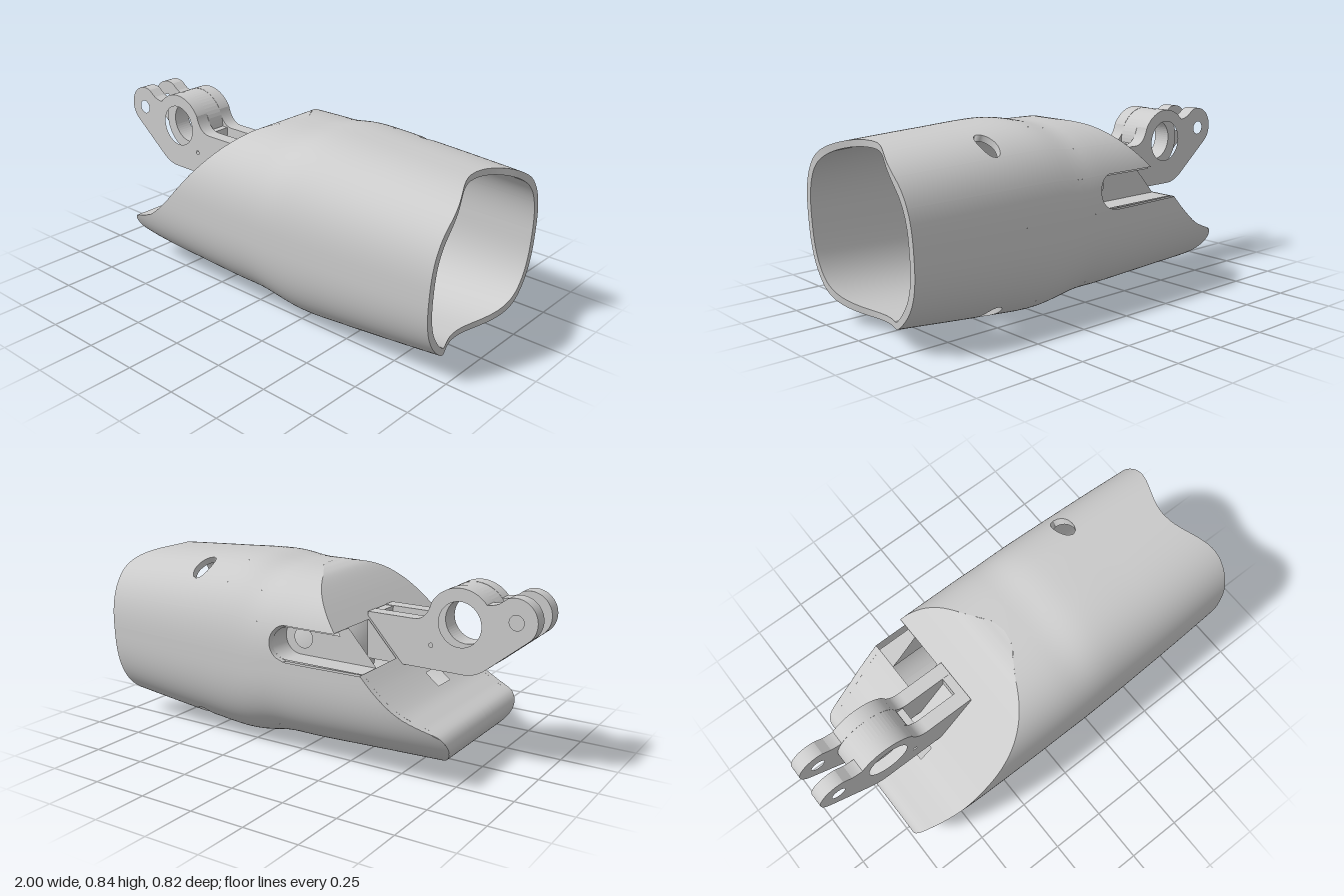
import * as THREE from 'three';
import { mergeGeometries, mergeVertices } from 'three/addons/utils/BufferGeometryUtils.js';

const mat = new THREE.MeshStandardMaterial({ color: 0xcccccc, side: THREE.DoubleSide });
const solid = new THREE.MeshStandardMaterial({ color: 0xcccccc });
const EXP = 2.6, WALL = 0.028, BACK = -0.745;
const SLOT = { y0: 0.45, y1: 0.6, end: 0.06 };

// linear lookup in a list of [x, value] pairs
function lookup(list, x) {
  if (x <= list[0][0]) return list[0][1];
  for (let i = 1; i < list.length; i++) {
    const [a, va] = list[i - 1], [b, vb] = list[i];
    if (x <= b) return va + (vb - va) * (x - a) / (b - a || 1);
  }
  return list[list.length - 1][1];
}
const smooth = pts => new THREE.SplineCurve(pts.map(p => new THREE.Vector2(...p)))
  .getSpacedPoints(100).map(p => [p.x, p.y]);

// sleeve outline along x: underside, top and half width
const bottom = smooth([[-0.75, 0.055], [-0.5, 0.055], [-0.1, 0.04], [0.08, 0.036], [0.28, 0.004], [0.5, 0.018], [0.85, 0.052], [1, 0.068]]);
const top = smooth([[-0.75, 0.79], [0, 0.8], [0.15, 0.802], [0.31, 0.821], [0.6, 0.807], [0.88, 0.791], [1, 0.783]]);
const half = smooth([[-0.75, 0.372], [-0.6, 0.4], [-0.42, 0.411], [0.05, 0.411], [0.3, 0.405], [0.7, 0.392], [1, 0.378]]);

// side profile of the rounded nose and the sloping end face
const endCurve = new THREE.SplineCurve([[-0.5, 0.045], [-0.58, 0.067], [-0.65, 0.082], [-0.715, 0.12], [BACK, 0.18], [-0.72, 0.235],
  [-0.64, 0.268], [-0.55, 0.31], [-0.45, 0.39], [-0.35, 0.495], [-0.25, 0.605], [-0.15, 0.71], [-0.08, 0.772], [-0.03, 0.793],
  [0.03, 0.804], [0.1, 0.84]].map(p => new THREE.Vector2(...p))).getSpacedPoints(160);
const tip = endCurve.reduce((m, p, i) => (p.x < endCurve[m].x ? i : m), 0);
const upper = endCurve.slice(tip).map(p => [p.x, p.y]);
const lower = endCurve.slice(0, tip + 1).reverse().map(p => [p.x, p.y]);

// point on the rounded-square section at x
function skin(x, a, inset) {
  const lo = lookup(bottom, x), hi = lookup(top, x);
  const pow = v => Math.sign(v) * Math.abs(v) ** (2 / EXP);
  return [x, (lo + hi) / 2 + ((hi - lo) / 2 - inset) * pow(Math.sin(a)), -(lookup(half, x) - inset) * pow(Math.cos(a))];
}
function widthAt(x, y) {
  const lo = lookup(bottom, x), hi = lookup(top, x);
  const k = Math.min(1, Math.abs(y - (lo + hi) / 2) / ((hi - lo) / 2));
  return lookup(half, x) * (1 - k ** EXP) ** (1 / EXP);
}
// where a lengthwise line of the skin meets the end face
function startX(a, inset) {
  let out = BACK, inn = 0.12;
  for (let i = 0; i < 22; i++) {
    const x = (out + inn) / 2, y = skin(x, a, inset)[1];
    if (y <= lookup(upper, x) && (x > -0.5 || y >= lookup(lower, x))) inn = x; else out = x;
  }
  return inn;
}
// open end, leaning, with a scoop above and below
function endX(a, inset) {
  const [, y, z] = skin(0.97, a, inset);
  const scoop = Math.abs(z) < 0.3 ? Math.cos(Math.PI * z / 0.6) ** 2 : 0;
  return 0.97 + 0.03 * (y - 0.1) / 0.65 - 0.095 * scoop;
}
function slotX(a) {
  const r = (SLOT.y1 - SLOT.y0) / 2, d = (skin(0, a, 0)[1] - SLOT.y0 - r) / r;
  return SLOT.end - r + r * Math.sqrt(Math.max(0, 1 - d * d));
}

// grid surface from a point function, with optional skipped cells
function grid(nu, nv, f, skip) {
  const pos = [], idx = [];
  for (let i = 0; i <= nu; i++) for (let j = 0; j <= nv; j++) pos.push(...f(i, j));
  for (let i = 0; i < nu; i++) for (let j = 0; j < nv; j++) {
    if (skip && skip(i, j)) continue;
    const a = i * (nv + 1) + j, b = a + nv + 1;
    idx.push(a, a + 1, b, b, a + 1, b + 1);
  }
  const g = new THREE.BufferGeometry();
  g.setAttribute('position', new THREE.Float32BufferAttribute(pos, 3));
  g.setIndex(idx);
  return g;
}
function mesh(name, geo, material = mat) {
  const m = new THREE.Mesh(geo, material);
  m.name = name;
  return m;
}
function joined(name, list) {
  const g = mergeVertices(mergeGeometries(list), 1e-4);
  g.computeVertexNormals();
  return mesh(name, g);
}

// angular bands of the sleeve; a band may hold the slot or a small oval hole
const sectionAngle = y => Math.asin(((y - 0.4225) / 0.3775) ** (EXP / 2));
const s0 = sectionAngle(SLOT.y0), s1 = sectionAngle(SLOT.y1);
const holeEdge = (a, mid, s) => 0.535 + s * 0.04 * Math.sqrt(Math.max(0, 1 - ((a - mid) / 0.22) ** 2));
const bands = [
  { a: -1.228, b: -0.788, n: 16, hole: -1.008 }, { a: -0.788, b: s0, n: 14 },
  { a: s0, b: s1, n: 18, slot: true }, { a: s1, b: 0.788, n: 12 },
  { a: 0.788, b: 1.228, n: 16, hole: 1.008 }, { a: 1.228, b: 2 * Math.PI - 1.228, n: 80 },
];

function addSleeve(group) {
  const skins = [[], []], edges = [];
  for (const band of bands) {
    const angle = j => band.a + (band.b - band.a) * j / band.n;
    const begin = (a, w) => (band.slot ? slotX(a) : startX(a, w));
    [0, WALL].forEach((w, k) => {
      const strip = (from, to, n) => skins[k].push(grid(n, band.n, (i, j) => {
        const a = angle(j), x0 = from(a);
        return skin(x0 + (to(a) - x0) * i / n, a, w);
      }));
      if (band.hole) {
        strip(a => begin(a, w), a => holeEdge(a, band.hole, -1), 26);
        strip(a => holeEdge(a, band.hole, 1), a => endX(a, w), 16);
      } else strip(a => begin(a, w), a => endX(a, w), 44);
    });
    // wall thickness at the open end, slot and holes
    const edge = f => edges.push(grid(1, band.n, (i, j) => skin(f(angle(j), i * WALL), angle(j), i * WALL)));
    edge(endX);
    if (band.slot) edge(a => slotX(a));
    if (band.hole) [-1, 1].forEach(s => edge(a => holeEdge(a, band.hole, s)));
  }
  group.add(joined('sleeveOuterSkin', skins[0]), joined('sleeveInnerSkin', skins[1]), joined('sleeveEdges', edges));
}

// sloping end face, with the slot mouth and windows left open
function addEndFace(group) {
  const zs = [];
  for (let i = 0; i <= 40; i++) zs.push(-0.42 + 0.021 * i);
  zs.push(-0.12, 0.04, 0.105);
  zs.sort((a, b) => a - b);
  const within = (v, a, b) => v > a && v < b;
  const g = grid(endCurve.length - 1, zs.length - 1, (i, j) => {
    const { x, y } = endCurve[i], w = widthAt(x, y);
    return [x, y, Math.max(-w, Math.min(w, zs[j]))];
  }, (i, j) => {
    if (i < tip) return false;
    const y = (endCurve[i].y + endCurve[i + 1].y) / 2, z = (zs[j] + zs[j + 1]) / 2;
    return (within(y, SLOT.y0, SLOT.y1) && z < -0.12) || (within(y, 0.32, 0.37) && within(z, 0, 0.105))
      || (within(y, 0.42, 0.48) && within(z, 0, 0.04));
  });
  g.computeVertexNormals();
  group.add(mesh('slopedEndFace', g));
}

// side pocket behind the slot and the bowl inside the sleeve
function addPocket(group) {
  const r = (SLOT.y1 - SLOT.y0) / 2, cx = SLOT.end - r, cy = SLOT.y0 + r;
  const outline = new THREE.Shape();
  outline.moveTo(-0.39, SLOT.y0).lineTo(cx, SLOT.y0);
  outline.absarc(cx, cy, r, -Math.PI / 2, Math.PI / 2, false);
  outline.lineTo(-0.255, SLOT.y1);
  const pts = outline.getPoints(20);
  const wall = grid(pts.length - 1, 1, (i, j) => [pts[i].x, pts[i].y, j ? -0.28 : -0.385]);
  wall.computeVertexNormals();
  group.add(mesh('pocketWall', wall));
  const hole = new THREE.Path();
  hole.absarc(-0.03, cy, 0.045, 0, Math.PI * 2, true);
  outline.holes.push(hole);
  const floor = mesh('pocketFloor', new THREE.ShapeGeometry(outline, 16));
  floor.position.z = -0.28;
  group.add(floor);

  const bowl = mesh('innerBowl', new THREE.SphereGeometry(1, 32, 24, Math.PI / 2 * 3, Math.PI / 2, 0, Math.PI));
  bowl.geometry.rotateY(Math.PI);
  bowl.geometry.computeBoundingBox();
  // keep the quarter facing the slope on the slotted side
  const c = bowl.geometry.boundingBox.getCenter(new THREE.Vector3());
  bowl.geometry.scale(c.x > 0 ? -0.3 : 0.3, 0.28, c.z > 0 ? -0.28 : 0.28);
  bowl.geometry.computeVertexNormals();
  bowl.position.set(0.08, 0.43, 0);
  group.add(bowl);
}

// hinge bracket: two cheek plates with a hub and bridges between them
function addBracket(group) {
  const rad = d => d * Math.PI / 180;
  const circle = (shape, x, y, r) => shape.holes.push(new THREE.Path().absarc(x, y, r, 0, Math.PI * 2, true));
  const plate = new THREE.Shape();
  plate.moveTo(-0.24, 0.427).lineTo(-0.7, 0.427);
  plate.quadraticCurveTo(-0.745, 0.43, -0.785, 0.46);
  plate.absarc(-0.905, 0.68, 0.095, rad(230), rad(70), true);
  plate.lineTo(-0.835, 0.742);
  plate.quadraticCurveTo(-0.805, 0.73, -0.785, 0.731);
  plate.absarc(-0.67, 0.635, 0.15, rad(140), rad(30), true);
  plate.quadraticCurveTo(-0.52, 0.632, -0.46, 0.632);
  plate.lineTo(-0.24, 0.632);
  circle(plate, -0.67, 0.635, 0.095);
  circle(plate, -0.912, 0.677, 0.031);
  circle(plate, -0.543, 0.53, 0.009);
  const extrude = (name, shape, z, depth) => {
    const m = mesh(name, new THREE.ExtrudeGeometry(shape, { depth, bevelEnabled: false, curveSegments: 28 }), solid);
    m.position.z = z;
    group.add(m);
  };
  extrude('bracketPlateLeft', plate, 0.042, 0.063);
  extrude('bracketPlateRight', plate, -0.105, 0.063);
  const hub = new THREE.Shape().absarc(-0.67, 0.635, 0.149, 0, Math.PI * 2, false);
  circle(hub, -0.67, 0.635, 0.095);
  extrude('bracketHub', hub, -0.042, 0.084);
  for (const [x, w] of [[-0.52, 0.06], [-0.26, 0.04]]) {
    const b = mesh('bracketBridge', new THREE.BoxGeometry(w, 0.15, 0.084), solid);
    b.position.set(x, 0.555, 0);
    group.add(b);
  }
}

export function createModel() {
  const model = new THREE.Group();
  model.name = 'forearmSleeve';
  for (const [name, build] of [['sleeve', addSleeve], ['endFace', addEndFace], ['pocket', addPocket], ['bracket', addBracket]]) {
    const part = new THREE.Group();
    part.name = name;
    build(part);
    model.add(part);
  }
  return model;
}
